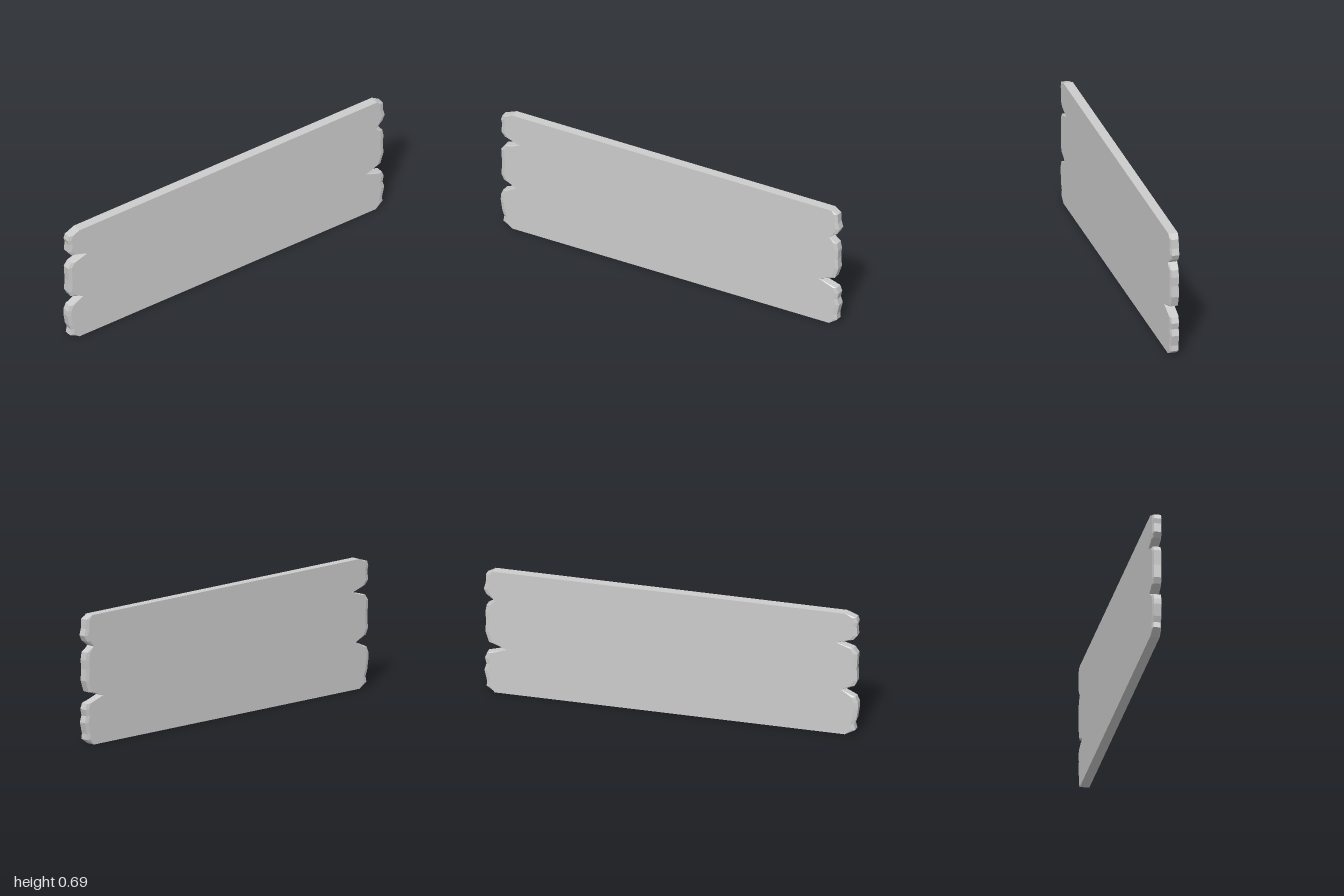
import * as THREE from 'three';

// End profiles as [z, y, bevel]; bevel 0 marks notch tips and plank corners
const frontEnd = [
  [0.93, 0, 0], [0.985, 0.028, 1], [0.978, 0.06, 1], [0.99, 0.09, 1], [1, 0.155, 1], [0.998, 0.185, 1],
  [0.985, 0.215, 1], [0.905, 0.25, 0], [0.98, 0.278, 1], [0.995, 0.308, 1], [0.992, 0.38, 1], [0.997, 0.46, 1],
  [0.975, 0.49, 1], [0.88, 0.515, 0], [0.975, 0.54, 1], [0.996, 0.565, 1], [0.992, 0.615, 1],
  [0.998, 0.64, 1], [0.99, 0.665, 1], [0.93, 0.685, 0],
];
const backEnd = [
  [-0.95, 0.685, 0], [-0.988, 0.665, 1], [-0.99, 0.615, 1], [-1, 0.58, 1], [-0.985, 0.55, 1],
  [-0.94, 0.518, 0], [-0.985, 0.49, 1], [-0.992, 0.45, 1], [-0.988, 0.4, 1], [-0.992, 0.34, 1],
  [-0.972, 0.28, 1], [-0.875, 0.25, 0], [-0.982, 0.22, 1], [-0.994, 0.19, 1], [-0.986, 0.155, 1],
  [-0.997, 0.12, 1], [-0.983, 0.06, 1], [-0.985, 0.03, 1], [-0.94, 0, 0],
];

export function createModel() {
  const outline = [...frontEnd, ...backEnd];
  const n = outline.length;

  // Cross-sections through the thickness: the ends are chamfered at both faces
  const rings = [[-0.025, 0.02], [-0.019, 0], [0.019, 0], [0.025, 0.02]];
  const positions = [];
  for (const [x, inset] of rings) {
    for (const [z, y, bevel] of outline) positions.push(x, y, z - Math.sign(z) * inset * bevel);
  }

  // Rim and chamfers between neighbouring sections
  const index = [];
  for (let r = 0; r < rings.length - 1; r++) {
    for (let i = 0; i < n; i++) {
      const j = (i + 1) % n;
      const a = r * n + i, b = r * n + j, c = b + n, d = a + n;
      index.push(a, d, c, a, c, b);
    }
  }

  // The two broad faces
  const face = outline.map(([z, y, bevel]) => new THREE.Vector2(z - Math.sign(z) * 0.02 * bevel, y));
  const last = (rings.length - 1) * n;
  for (const [a, b, c] of THREE.ShapeUtils.triangulateShape(face, [])) {
    index.push(a, b, c, last + a, last + c, last + b);
  }

  const indexed = new THREE.BufferGeometry();
  indexed.setAttribute('position', new THREE.Float32BufferAttribute(positions, 3));
  indexed.setIndex(index);
  const geometry = indexed.toNonIndexed();
  geometry.computeVertexNormals();

  const plank = new THREE.Mesh(geometry, new THREE.MeshStandardMaterial({ color: 0xcccccc, flatShading: true }));
  plank.name = 'splitPlank';
  const group = new THREE.Group();
  group.name = 'woodenBoard';
  group.add(plank);
  return group;
}
